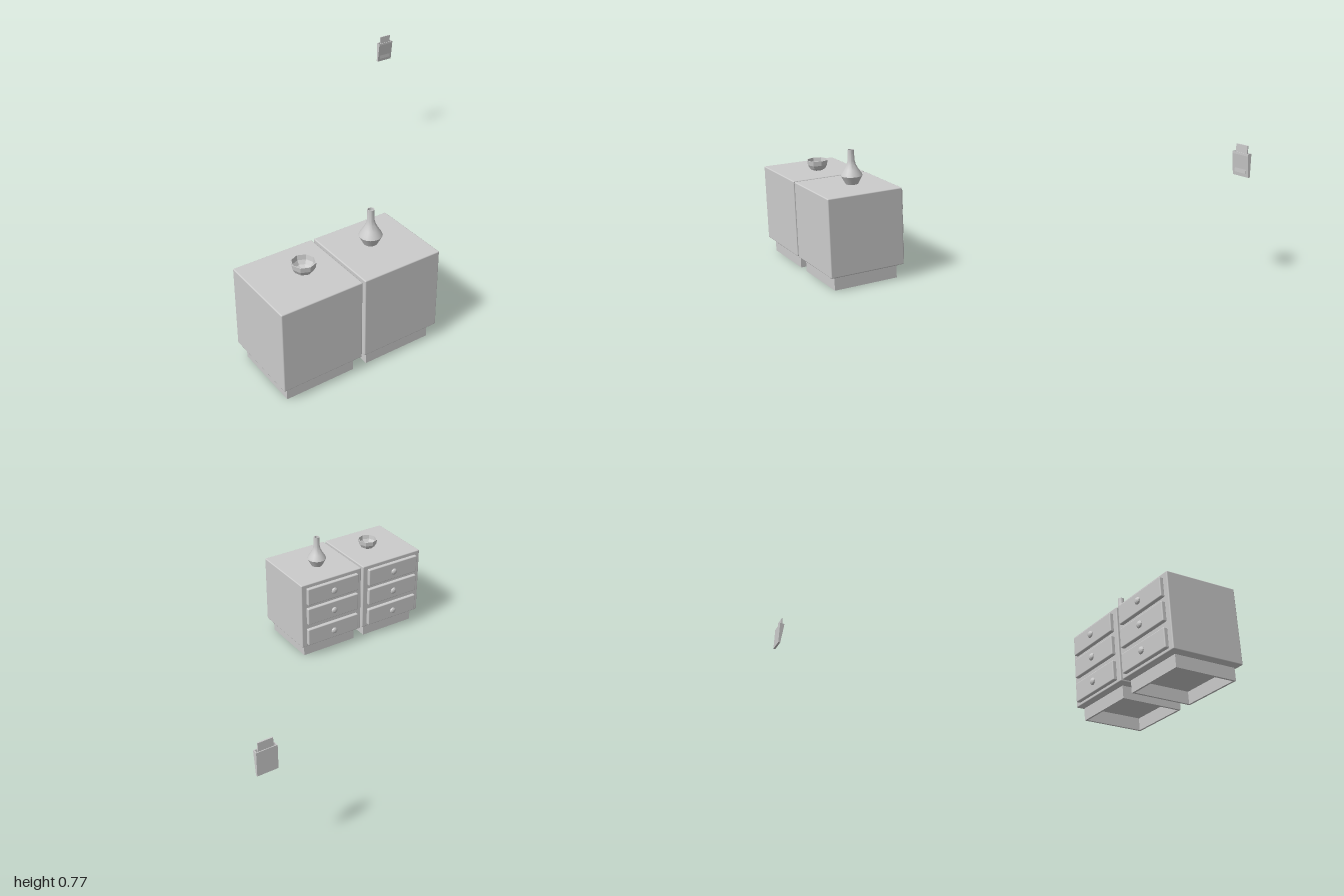
import * as THREE from 'three';
import { RoundedBoxGeometry } from 'three/addons/geometries/RoundedBoxGeometry.js';
import { toCreasedNormals } from 'three/addons/utils/BufferGeometryUtils.js';

const smooth = new THREE.MeshStandardMaterial({ color: 0xcccccc });
const flat = new THREE.MeshStandardMaterial({ color: 0xcccccc, flatShading: true });
const flatOpen = new THREE.MeshStandardMaterial({ color: 0xcccccc, flatShading: true, side: THREE.DoubleSide });
const smoothOpen = new THREE.MeshStandardMaterial({ color: 0xcccccc, side: THREE.DoubleSide });

function add(parent, name, geometry, material, x = 0, y = 0, z = 0) {
  const mesh = new THREE.Mesh(geometry, material);
  mesh.name = name;
  mesh.position.set(x, y, z);
  parent.add(mesh);
  return mesh;
}

function lathe(points, sides) {
  return new THREE.LatheGeometry(points.map(([r, y]) => new THREE.Vector2(r, y)), sides);
}

function square(half, ShapeType) {
  return new ShapeType([[-1, -1], [1, -1], [1, 1], [-1, 1]].map(([x, y]) => new THREE.Vector2(x * half, y * half)));
}

// Three-drawer cabinet on a hollow plinth; the drawers face -z
function makeCabinet(name, x) {
  const cabinet = new THREE.Group();
  cabinet.name = name;
  cabinet.position.set(x, 0, 0.729);

  add(cabinet, 'body', new RoundedBoxGeometry(0.434, 0.435, 0.434, 2, 0.006), smooth, 0, 0.298, 0);

  // Bevelled step between body and plinth
  const step = new THREE.CylinderGeometry(0.213 * Math.SQRT2, 0.19 * Math.SQRT2, 0.012, 4);
  step.rotateY(Math.PI / 4);
  add(cabinet, 'baseMoulding', step, flat, 0, 0.077, 0);

  const outline = square(0.186, THREE.Shape);
  outline.holes.push(square(0.174, THREE.Path));
  const plinth = new THREE.ExtrudeGeometry(outline, { depth: 0.075, bevelEnabled: false });
  plinth.rotateX(-Math.PI / 2);
  add(cabinet, 'plinth', plinth, flat);

  // Drawer fronts with round knobs
  const front = new RoundedBoxGeometry(0.366, 0.112, 0.026, 2, 0.006);
  const knob = lathe([[0, 0], [0.009, 0], [0.009, 0.004], [0.019, 0.006], [0.021, 0.01], [0.017, 0.016], [0.009, 0.02], [0, 0.021]], 12);
  knob.rotateX(-Math.PI / 2);
  for (const y of [0.153, 0.299, 0.436]) {
    add(cabinet, 'drawerFront', front, smooth, 0, y, -0.226);
    add(cabinet, 'drawerKnob', knob, flat, 0, y, -0.238);
  }
  return cabinet;
}

// Tapered wall pocket with a card standing in it
function makePocket() {
  const pocket = new THREE.Group();
  pocket.name = 'wallPocket';
  pocket.position.set(0.946, 0.598, -0.945);
  const h = 0.128, t = 0.004;
  add(pocket, 'backPanel', new THREE.BoxGeometry(0.106, h, t), flat, 0, h / 2, t / 2);

  const slab = (points, width) => {
    const g = new THREE.ExtrudeGeometry(new THREE.Shape(points.map(([z, y]) => new THREE.Vector2(z, y))),
      { depth: width, bevelEnabled: false });
    g.translate(0, 0, -width / 2);
    return g.rotateY(-Math.PI / 2);
  };
  add(pocket, 'frontPanel', slab([[0.008, 0], [0.012, 0], [0.026, h - 0.012], [0.026, h], [0.022, h]], 0.106), flat);
  add(pocket, 'bottomPanel', new THREE.BoxGeometry(0.106, t, 0.012), flat, 0, t / 2, 0.006);
  const side = slab([[0, 0], [0.012, 0], [0.026, h - 0.012], [0.026, h], [0, h]], t);
  for (const s of [-1, 1]) add(pocket, 'sidePanel', side, flat, s * 0.051, 0, 0);
  add(pocket, 'card', new THREE.BoxGeometry(0.076, 0.15, 0.007), flat, 0, 0.094, 0.0135);
  return pocket;
}

export function createModel() {
  const model = new THREE.Group();
  model.name = 'cabinetsAndWallPocket';
  model.add(makeCabinet('rightCabinet', -0.783), makeCabinet('leftCabinet', -0.335));

  // Eight-sided bowl
  add(model, 'bowl', lathe([[0, 0.003], [0.024, 0], [0.045, 0.012], [0.058, 0.034], [0.062, 0.061],
    [0.057, 0.061], [0.053, 0.036], [0.041, 0.017], [0.022, 0.008], [0, 0.008]], 8), flatOpen, -0.743, 0.515, 0.722);

  // Slender-necked vase
  const vase = lathe([[0, 0], [0.034, 0], [0.059, 0.047], [0.053, 0.06], [0.038, 0.083], [0.025, 0.108],
    [0.019, 0.131], [0.0175, 0.19], [0.014, 0.19], [0.014, 0.13]], 20);
  add(model, 'vase', toCreasedNormals(vase, 0.6), smoothOpen, -0.345, 0.515, 0.698);

  model.add(makePocket());
  return model;
}
